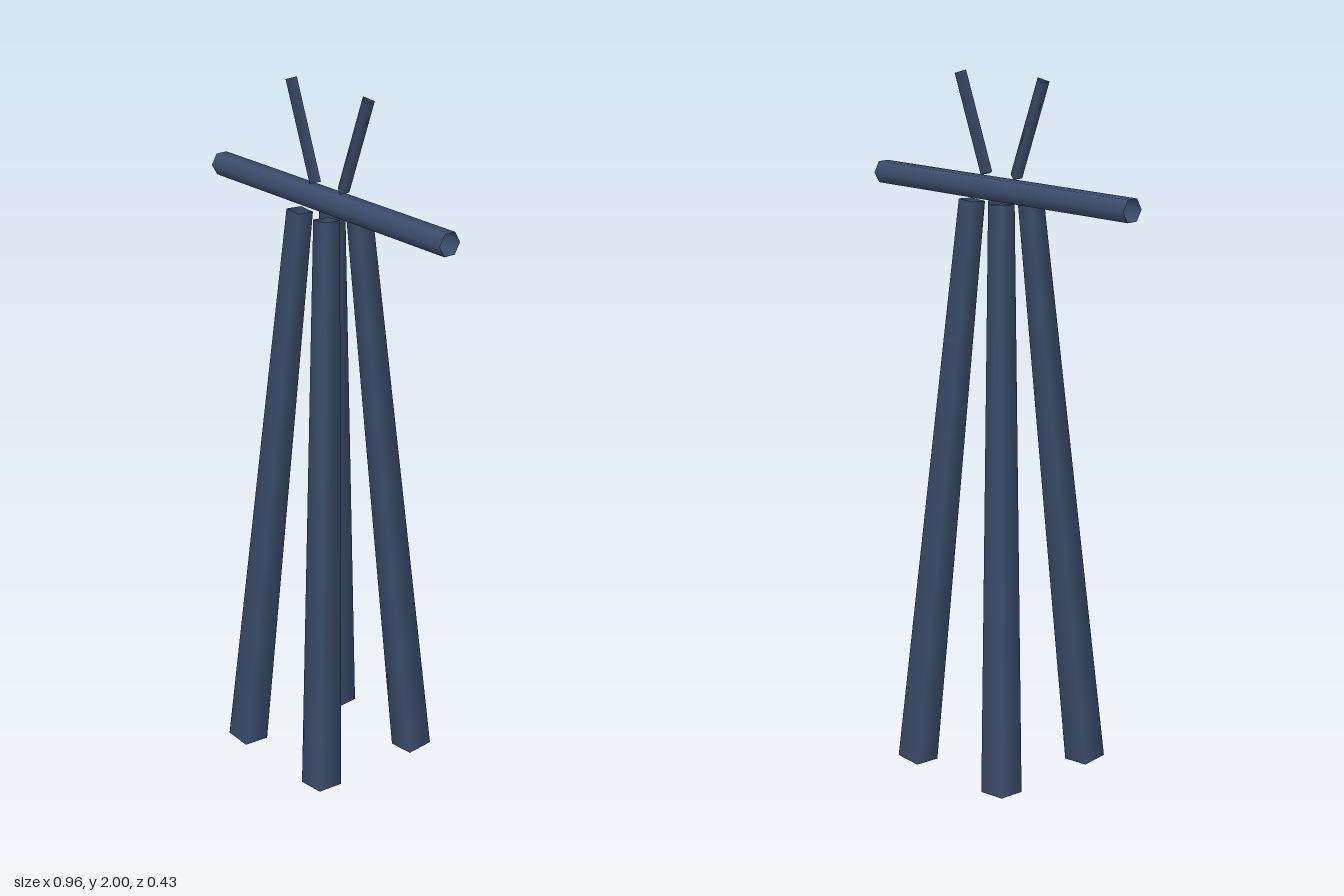
import * as THREE from 'three';

// Open-ended tapered tube from a to b; its first corner points toward `facing`
function tube(name, a, b, ra, rb, sides, facing, material) {
  const axis = b.clone().sub(a);
  const geometry = new THREE.CylinderGeometry(rb, ra, axis.length(), sides, 1, true);
  const y = axis.normalize();
  const z = facing.clone().addScaledVector(y, -facing.dot(y)).normalize();
  const x = y.clone().cross(z);
  geometry.applyMatrix4(new THREE.Matrix4().makeBasis(x, y, z));
  const mesh = new THREE.Mesh(geometry, material);
  mesh.position.copy(a).add(b).multiplyScalar(0.5);
  mesh.name = name;
  return mesh;
}

export function createModel() {
  const v = (x, y, z) => new THREE.Vector3(x, y, z);
  const steel = new THREE.MeshStandardMaterial({ color: 0x3a4b69, side: THREE.DoubleSide });
  steel.name = 'dark blue steel';

  const group = new THREE.Group();
  group.name = 'pylon';

  // Four tapered square legs leaning inward
  for (const sx of [1, -1]) {
    for (const sz of [1, -1]) {
      const leg = tube((sz > 0 ? 'front' : 'back') + (sx > 0 ? 'Left' : 'Right') + 'Leg',
        v(sx * 0.173, 0.0055, sz * 0.173), v(sx * 0.057, 1.656, sz * 0.057),
        0.057, 0.036, 4, v(sx, 0, sz), steel);
      group.add(leg);
    }
  }

  // Six-sided crossbar
  group.add(tube('crossbar', v(-0.48, 1.683, 0), v(0.48, 1.683, 0),
    0.035, 0.035, 6, v(0, 0, 1), steel));

  // Two three-sided prongs spreading upward, ridge on the inner side
  for (const sx of [1, -1]) {
    group.add(tube(sx > 0 ? 'leftProng' : 'rightProng',
      v(sx * 0.054, 1.723, 0), v(sx * 0.155, 1.993, 0),
      0.0195, 0.0195, 3, v(-sx, 0, 0), steel));
  }
  return group;
}
